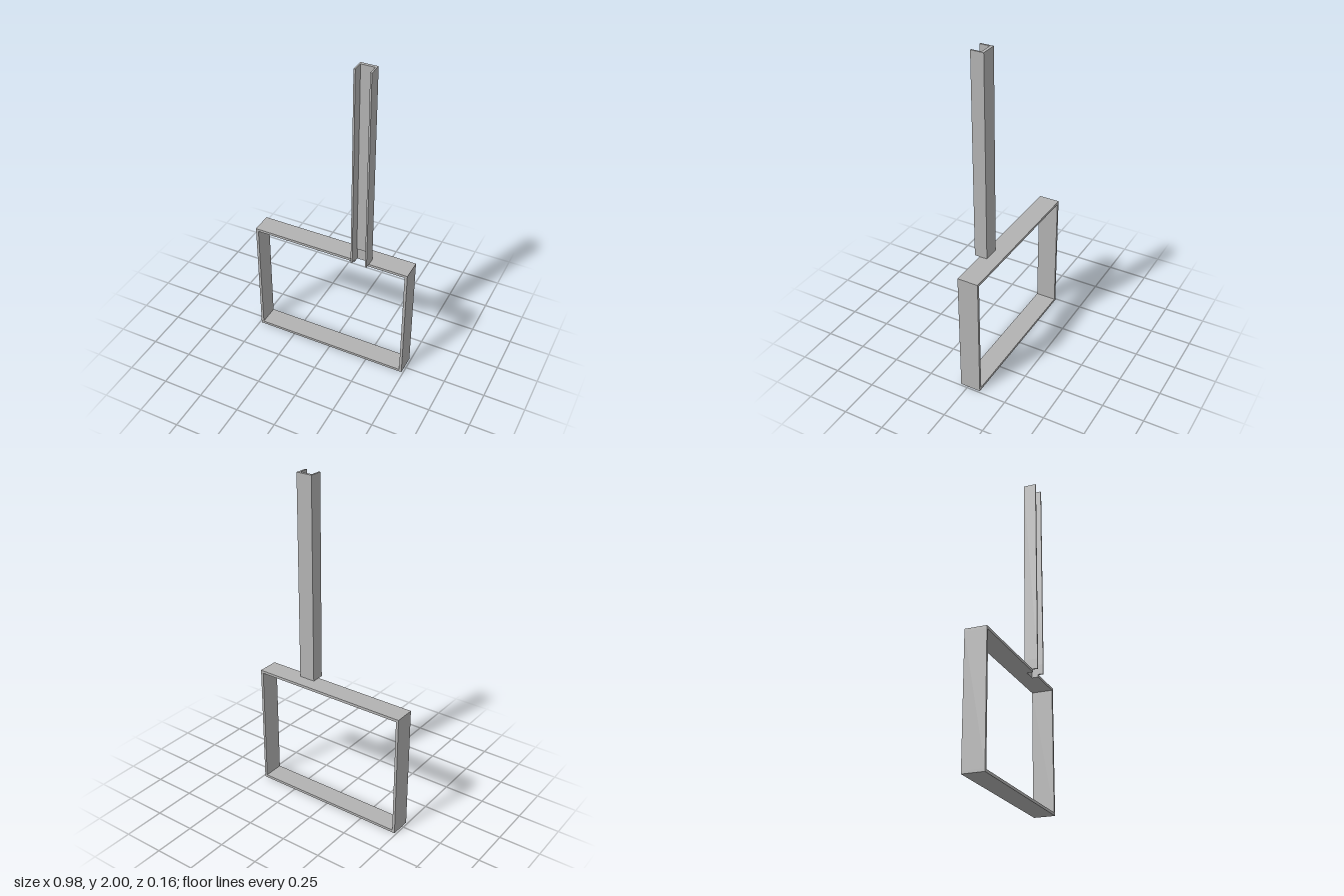
import * as THREE from 'three';

export function createModel() {
  const group = new THREE.Group();
  const steel = new THREE.MeshStandardMaterial({ color: 0xb2b2b2 });
  steel.name = 'grey steel';

  const W = 0.489, H = 0.765, T = 0.016;      // frame half width, height, wall
  const back = -0.079, front = 0.047;         // frame depth range
  const x0 = 0.152, x1 = 0.252, wall = 0.01;  // channel sides and flange thickness
  const i0 = x0 + wall, i1 = x1 - wall;
  const tip = 0.078, web = 0.018, recess = 0.01;

  const add = (name, geometry) => {
    const mesh = new THREE.Mesh(geometry, steel);
    mesh.name = name;
    group.add(mesh);
    return mesh;
  };

  // Upright prism from an outline of [x, z] points, between two heights
  const prism = (name, outline, y0, y1) => {
    const shape = new THREE.Shape(outline.map(([x, z]) => new THREE.Vector2(x, -z)));
    const geometry = new THREE.ExtrudeGeometry(shape, { depth: y1 - y0, bevelEnabled: false });
    geometry.rotateX(-Math.PI / 2).translate(0, y0, 0);
    return add(name, geometry);
  };

  const rect = (a, b) => [[a, back], [b, back], [b, front], [a, front]];

  // U-shaped outline of the channel, open to the front
  const channel = (depth) => [
    [x0, 0], [x1, 0], [x1, tip], [i1, tip],
    [i1, depth], [i0, depth], [i0, tip], [x0, tip],
  ];

  // Rectangular frame
  prism('frameBottom', rect(-W, W), 0, T);
  prism('frameRightSide', rect(-W, -W + T), T, H - T);
  prism('frameLeftSide', rect(W - T, W), T, H - T);

  // Top bar, notched where the channel opens
  prism('frameTop', [
    [-W, back], [W, back], [W, front], [i1, front],
    [i1, recess], [i0, recess], [i0, front], [-W, front],
  ], H - T, H);

  // Channel post, with the notch cut into the foot of its web
  prism('channelFoot', channel(recess), H, 0.825);
  prism('channelPost', channel(web), 0.825, 2);

  return group;
}
